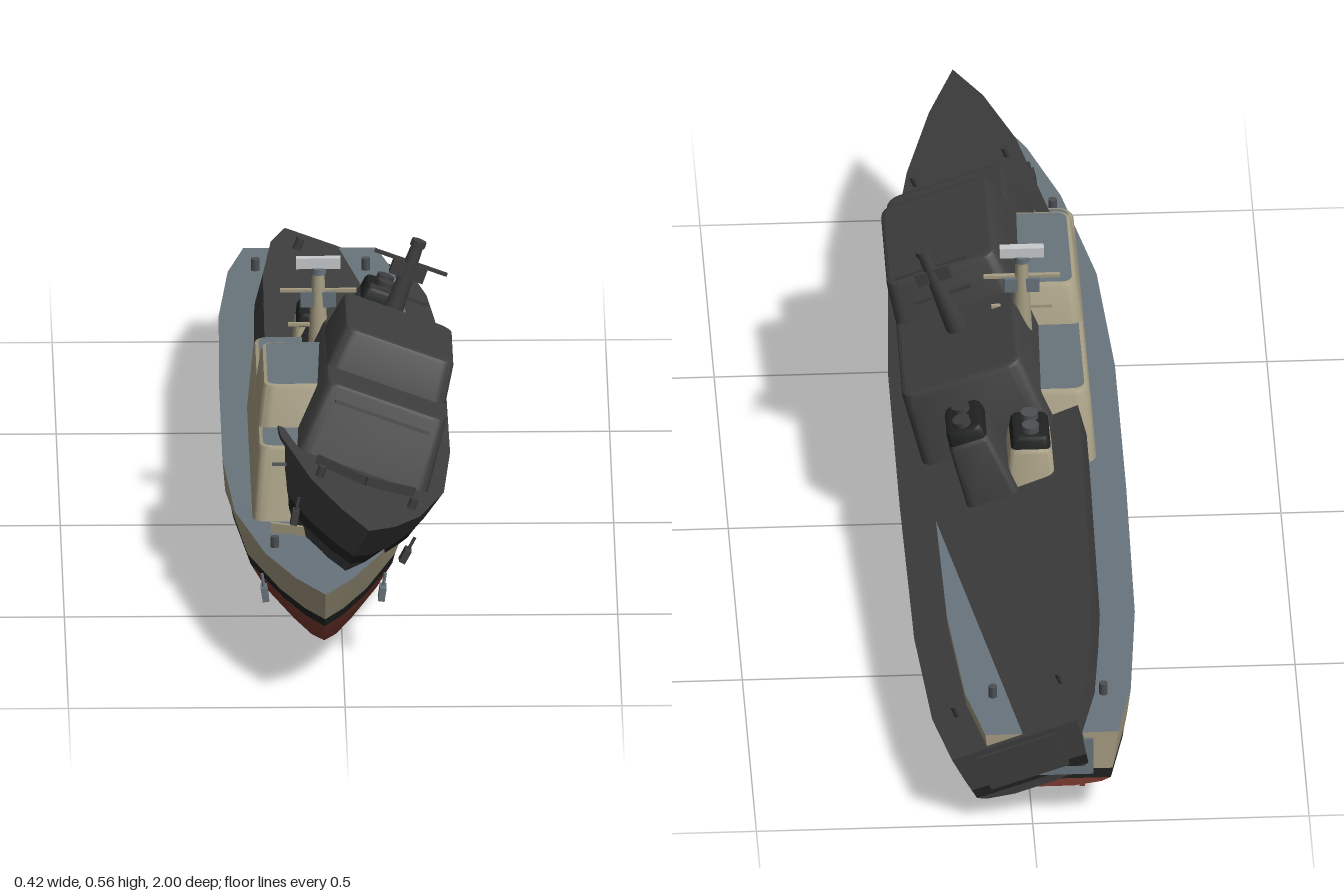
import * as THREE from 'three';
import { toCreasedNormals } from 'three/addons/utils/BufferGeometryUtils.js';

const mat = (name, color) => {
  const m = new THREE.MeshStandardMaterial({ color });
  m.name = name;
  return m;
};
const tan = mat('tan paint', 0xa69d82), deckGrey = mat('deck grey', 0x69747c);
const red = mat('bottom red', 0x7e3c31), black = mat('black', 0x202222);
const dark = mat('charcoal', 0x3e3e3e), light = mat('light grey', 0xc9cbcc);
const metal = mat('dark metal', 0x4c5054);

const PAINTED = { hull: tan, bottom: red, band: black, deck: deckGrey, house: tan, fit: metal, box: deckGrey, cap: black, trim: tan };
const PLAIN = { hull: dark, bottom: dark, band: black, deck: dark, house: dark, fit: dark, box: dark, cap: black, trim: dark };

function mesh(parent, name, geometry, material, x = 0, y = 0, z = 0) {
  const m = new THREE.Mesh(geometry, material);
  m.name = name;
  m.position.set(x, y, z);
  parent.add(m);
  return m;
}

function geometryOf(points, index, crease = 0.6) {
  const g = new THREE.BufferGeometry();
  g.setAttribute('position', new THREE.Float32BufferAttribute(points.flat(), 3));
  g.setIndex(index);
  return toCreasedNormals(g, crease);
}

// Skin between closed rings stacked from bottom to top
function loft(rings, crease) {
  const n = rings[0].length, index = [];
  for (let i = 0; i < rings.length - 1; i++) {
    for (let j = 0; j < n; j++) {
      const a = i * n + j, b = i * n + (j + 1) % n;
      index.push(a, a + n, b, b, a + n, b + n);
    }
  }
  return geometryOf(rings.flat(), index, crease);
}

// Zigzag lid over one ring
function lid(ring, up = true) {
  const n = ring.length, index = [];
  for (let j = 0; j < n / 2 - 1; j++) {
    const a = j, b = j + 1, c = n - 1 - j, d = n - 2 - j;
    if (up) index.push(a, c, b, b, c, d);
    else index.push(a, b, c, b, d, c);
  }
  return geometryOf(ring, index);
}

// Rectangle with rounded corners at height y
function roundedRing(y, halfW, back, front, r) {
  const ring = [];
  for (let q = 0; q < 4; q++) {
    const sx = q === 0 || q === 3 ? 1 : -1;
    const cz = q < 2 ? front - r : back + r;
    for (let k = 0; k <= 4; k++) {
      const a = (q + k / 4) * Math.PI / 2;
      ring.push([sx * (halfW - r) + r * Math.cos(a), y, cz + r * Math.sin(a)]);
    }
  }
  return ring;
}

// Sloped block with a softened upper edge and its own roof
function block(parent, name, low, high, r, wall, roof) {
  const [y1, w, b, f] = high;
  const rings = [
    roundedRing(...low, r),
    roundedRing(y1 - 0.008, w, b, f, r),
    roundedRing(y1 - 0.002, w - 0.003, b + 0.003, f - 0.003, r),
    roundedRing(y1, w - 0.009, b + 0.009, f - 0.009, r * 0.8),
  ];
  mesh(parent, name, loft(rings), wall);
  mesh(parent, name + 'Roof', lid(rings[3]), roof);
}

// Hull lines: half widths and heights at each station, and where each line meets the stem
const STATIONS = [-0.985, -0.85, -0.6, -0.2, 0.2, 0.5, 0.75, 0.9, 1];
const LINES = [
  { stem: 0.72, w: [.04, .05, .055, .055, .055, .035, .015, .007, 0], y: [.07, .035, .004, 0, 0, 0, .008, .018, .03] },
  { stem: 0.82, w: [.09, .11, .125, .128, .128, .1, .052, .022, 0], y: [.078, .05, .033, .03, .03, .03, .04, .05, .065] },
  { stem: 0.90, w: [.107, .135, .152, .155, .155, .128, .073, .033, 0], y: [.086, .084, .083, .083, .083, .087, .1, .11, .12] },
  { stem: 0.92, w: [.11, .138, .157, .16, .16, .133, .078, .035, 0], y: [.106, .104, .104, .104, .105, .108, .12, .13, .14] },
  { stem: 0.94, w: [.114, .143, .165, .17, .17, .143, .088, .04, 0], y: [.132, .132, .133, .135, .135, .138, .145, .152, .158] },
  { stem: 1.00, w: [.12, .15, .17, .175, .175, .157, .105, .052, 0], y: [.184, .186, .189, .193, .196, .2, .207, .212, .215] },
];

function addHull(ship, p) {
  const rings = LINES.map(({ stem, w, y }) => {
    const side = STATIONS.map((z, i) => [w[i], y[i], z > 0.2 ? 0.2 + (z - 0.2) * (stem - 0.2) / 0.8 : z]);
    return [...side, ...side.slice(0, -1).reverse().map(([x, h, z]) => [-x, h, z])];
  });
  mesh(ship, 'lowerHull', loft(rings.slice(0, 3), 0.7), p.bottom);
  mesh(ship, 'keelPlate', lid(rings[0], false), p.bottom);
  mesh(ship, 'waterlineBand', loft(rings.slice(2, 4)), p.band);
  mesh(ship, 'upperHull', loft(rings.slice(3)), p.hull);
  mesh(ship, 'deck', lid(rings[5]), p.deck);
  mesh(ship, 'sternDoor', new THREE.BoxGeometry(0.15, 0.075, 0.008), p.box, 0, 0.135, -0.986);
}

function addMast(ship, p, withRadar) {
  const mast = new THREE.Group();
  mast.name = 'mast';
  mast.position.z = 0.08;
  ship.add(mast);
  mesh(mast, 'mastPole', new THREE.CylinderGeometry(0.011, 0.021, 0.185, 12), p.trim, 0, 0.4175, 0);
  mesh(mast, 'mastCollar', new THREE.CylinderGeometry(0.014, 0.014, 0.012, 12), p.box, 0, 0.514, 0);
  mesh(mast, 'lowerYard', new THREE.BoxGeometry(0.11, 0.006, 0.008), p.trim, 0, 0.411, 0);
  mesh(mast, 'upperYard', new THREE.BoxGeometry(0.138, 0.006, 0.008), p.trim, 0, 0.476, 0);
  mesh(mast, 'sensorBox', new THREE.BoxGeometry(0.064, 0.028, 0.022), p.box, 0, 0.461, 0);
  if (withRadar) mesh(mast, 'radarBar', new THREE.BoxGeometry(0.08, 0.02, 0.016), light, 0, 0.529, 0);
}

function createShip(name, p, withRadar) {
  const ship = new THREE.Group();
  ship.name = name;
  addHull(ship, p);

  // Deckhouse, bridge and funnel: [height, half width, back, front]
  block(ship, 'deckhouse', [0.185, 0.127, -0.115, 0.565], [0.332, 0.115, -0.085, 0.525], 0.025, p.house, p.deck);
  block(ship, 'bridge', [0.33, 0.114, 0.135, 0.42], [0.406, 0.105, 0.155, 0.4], 0.022, p.house, p.deck);
  block(ship, 'funnel', [0.185, 0.05, -0.275, -0.14], [0.322, 0.038, -0.262, -0.16], 0.014, p.house, p.cap);
  block(ship, 'funnelCap', [0.32, 0.036, -0.257, -0.163], [0.346, 0.034, -0.255, -0.165], 0.012, p.cap, p.cap);
  for (const z of [-0.231, -0.189]) {
    mesh(ship, 'exhaustPipe', new THREE.CylinderGeometry(0.016, 0.016, 0.02, 14), p.fit, 0, 0.348, z);
  }
  const strip = mesh(ship, 'bridgeVisor', new THREE.BoxGeometry(0.18, 0.006, 0.012), p.fit, 0, 0.303, 0.536);
  strip.rotation.x = -0.25;
  addMast(ship, p, withRadar);

  for (const s of [-1, 1]) {
    // V-shaped breakwater on the foredeck
    const wing = mesh(ship, 'breakwater', new THREE.BoxGeometry(0.1, 0.022, 0.007), p.trim, s * 0.047, 0.21, 0.638);
    wing.rotation.y = s * 0.38;

    for (const [x, z] of [[0.088, 0.71], [0.1, -0.86]]) {
      mesh(ship, 'bollard', new THREE.CylinderGeometry(0.008, 0.008, 0.026, 10), p.fit, s * x, z > 0 ? 0.213 : 0.195, z);
    }

    // Anchor against the bow flare
    const anchor = new THREE.Group();
    anchor.name = 'anchor';
    anchor.position.set(s * 0.106, 0.125, 0.73);
    anchor.rotation.z = -s * 0.15;
    ship.add(anchor);
    mesh(anchor, 'anchorCrown', new THREE.BoxGeometry(0.012, 0.026, 0.03), p.box);
    mesh(anchor, 'anchorShank', new THREE.CylinderGeometry(0.003, 0.003, 0.05, 8), p.box, 0, 0.012, 0);

    mesh(ship, 'rudder', new THREE.BoxGeometry(0.01, 0.065, 0.07), p.bottom, s * 0.06, 0.045, -0.865);
  }
  return ship;
}

export function createModel() {
  const model = new THREE.Group();
  model.name = 'twoShips';
  const upright = createShip('uprightShip', PAINTED, true);
  upright.position.x = -0.035;
  // Second hull, heeled over and slightly raised at the bow
  const heeled = createShip('heeledShip', PLAIN, false);
  heeled.position.set(-0.03, 0.067, 0);
  heeled.rotation.set(-0.063, 0, -0.35);
  model.add(upright, heeled);
  return model;
}
